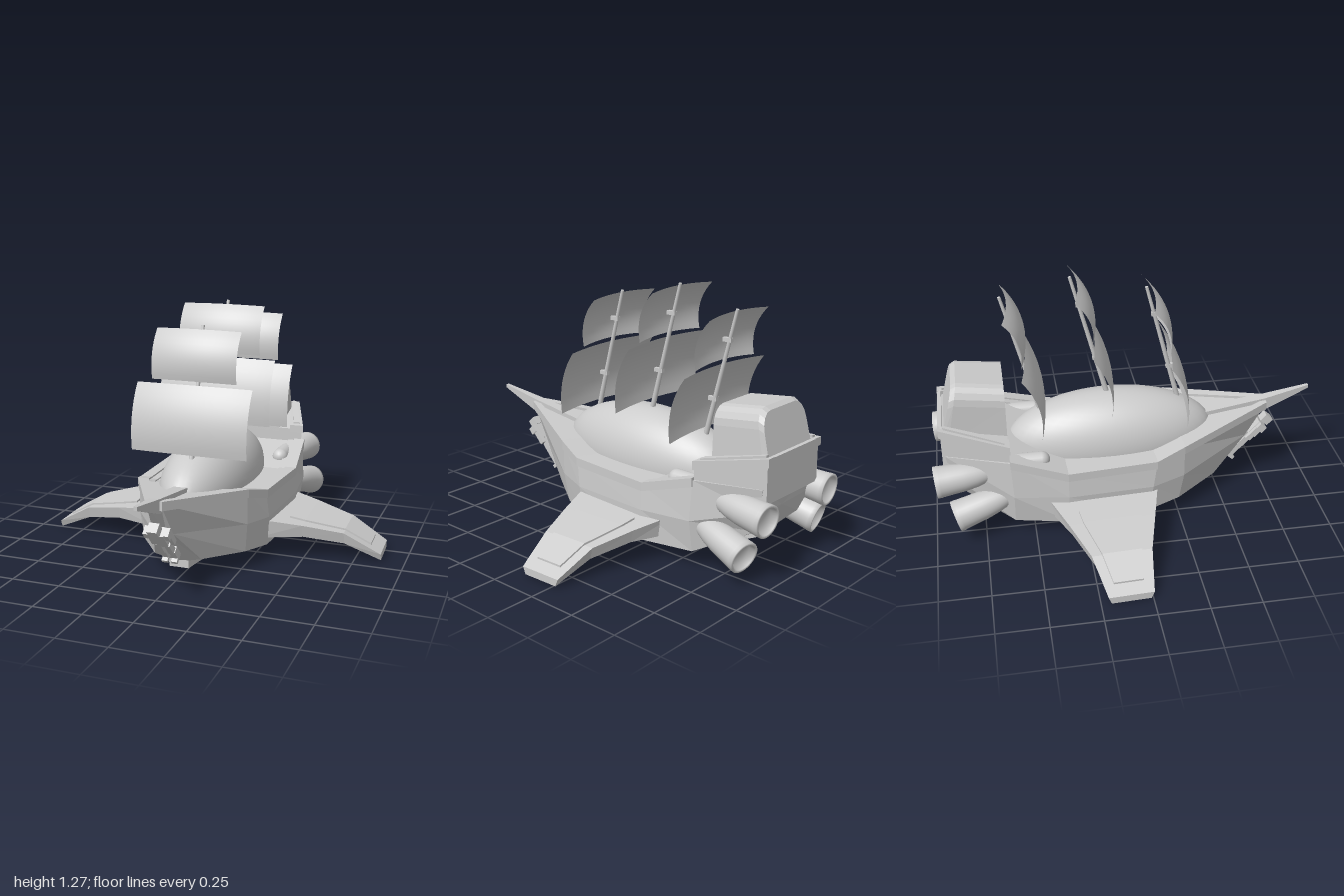
import * as THREE from 'three';

const grey = new THREE.MeshStandardMaterial({ color: 0xcccccc });
const flat = new THREE.MeshStandardMaterial({ color: 0xcccccc, flatShading: true });
const thin = new THREE.MeshStandardMaterial({ color: 0xcccccc, side: THREE.DoubleSide });

function add(parent, name, geometry, material = grey) {
  const mesh = new THREE.Mesh(geometry, material);
  mesh.name = name;
  parent.add(mesh);
  return mesh;
}

// Closed solid skinned over rings of [x, y, z] points, always wound outwards
function loft(rings) {
  const n = rings[0].length, tris = [];
  for (let r = 0; r < rings.length - 1; r++) {
    for (let i = 0; i < n; i++) {
      const j = (i + 1) % n;
      const [a, b, c, d] = [rings[r][i], rings[r][j], rings[r + 1][j], rings[r + 1][i]];
      tris.push([a, b, c], [a, c, d]);
    }
  }
  for (const [ring, first] of [[rings[0], true], [rings[rings.length - 1], false]]) {
    const mid = [0, 1, 2].map(k => ring.reduce((s, p) => s + p[k], 0) / n);
    for (let i = 0; i < n; i++) {
      const a = ring[i], b = ring[(i + 1) % n];
      tris.push(first ? [mid, b, a] : [mid, a, b]);
    }
  }
  const V = p => new THREE.Vector3(...p);
  const volume = tris.reduce((s, [a, b, c]) => s + V(a).dot(V(b).cross(V(c))), 0);
  const points = tris.flatMap(([a, b, c]) => (volume < 0 ? [a, c, b] : [a, b, c])).flat();
  const g = new THREE.BufferGeometry();
  g.setAttribute('position', new THREE.Float32BufferAttribute(points, 3));
  g.computeVertexNormals();
  return g;
}

const mirror = rings => rings.map(ring => ring.map(([x, y, z]) => [-x, y, z]));

function addPair(parent, name, rings) {
  add(parent, 'left' + name, loft(rings), flat);
  add(parent, 'right' + name, loft(mirror(rings)), flat);
}

// Rectangular section standing across z
const box = (x0, x1, y0, y1, z) => [[x0, y0, z], [x1, y0, z], [x1, y1, z], [x0, y1, z]];

function buildHull(ship) {
  // Each station: rail, side, chine, keel
  const stations = [
    [[.035, .475, .76], [.05, .30, .65], [.12, .12, .47], [0, .085, .45]],
    [[.285, .415, .27], [.285, .25, .27], [.27, .10, .25], [0, .06, .25]],
    [[.335, .375, .12], [.345, .24, .10], [.33, .085, .08], [0, .042, .05]],
    [[.355, .365, -.33], [.365, .24, -.33], [.36, .085, -.33], [0, .038, -.30]],
    [[.325, .45, -.61], [.335, .25, -.60], [.31, .09, -.60], [0, .055, -.60]],
    [[.215, .45, -.92], [.205, .33, -.90], [.17, .22, -.86], [0, .17, -.82]],
  ];
  const rings = stations.map(([a, b, c, k]) =>
    [a, b, c, k, ...[c, b, a].map(([x, y, z]) => [-x, y, z])]);
  add(ship, 'hull', loft(rings), flat);

  // Gunwale following the rail points
  addPair(ship, 'Gunwale', stations.slice(0, 5).map(([[x, y, z]]) =>
    box(Math.max(x - .05, .005), x + .008, y - .03, y + .014, z)));
  // Inner coaming step beside the dome
  addPair(ship, 'Coaming', stations.slice(1, 5).map(([[x, y, z]]) =>
    box(x - .085, x - .045, y - .02, y + .006, z)));

  add(ship, 'keel', loft([
    box(-.05, .05, .06, .10, .46), box(-.06, .06, .035, .08, .2), box(-.065, .065, .03, .06, -.3),
    box(-.06, .06, .045, .08, -.6), box(-.04, .04, .13, .18, -.79)]), flat);
  add(ship, 'bowsprit', loft([
    box(-.035, .035, .40, .455, .42), box(-.02, .03, .43, .50, .76), box(.012, .03, .522, .54, 1)]), flat);

  const dome = add(ship, 'dome', new THREE.SphereGeometry(1, 40, 28));
  dome.scale.set(.22, .255, .54);
  dome.position.set(-.01, .37, -.07);
}

function buildStern(ship) {
  add(ship, 'sternCastle', loft([
    box(-.315, .315, .38, .52, -.61), box(-.205, .205, .38, .58, -.935)]), flat);
  addPair(ship, 'CastleRail', [
    box(.25, .325, .50, .542, -.605), box(.165, .212, .56, .602, -.945)]);
  addPair(ship, 'CastleTrim', [
    box(.262, .30, .54, .555, -.63), box(.178, .198, .595, .61, -.92)]);
  add(ship, 'castleBackRail', new THREE.BoxGeometry(.38, .04, .02).translate(0, .58, -.935), flat);

  // Cabin with rounded upper corners and a raked back wall
  const section = (w, top, zLow, zHigh) => {
    const half = [[w, .5], [w * .96, top - .09]];
    for (let i = 1; i <= 4; i++) {
      const a = i * Math.PI / 8;
      half.push([w * .96 - .07 * (1 - Math.cos(a)), top - .09 + .09 * Math.sin(a)]);
    }
    return [...half, ...half.map(([x, y]) => [-x, y]).reverse()]
      .map(([x, y]) => [x, y, zLow + (zHigh - zLow) * (y - .5) / (top - .5)]);
  };
  add(ship, 'cabin', loft([
    section(.185, .77, -.61, -.61), section(.18, .80, -.90, -.84), section(.175, .785, -.935, -.865)]), flat);

  for (const s of [1, -1]) {
    const vent = add(ship, s > 0 ? 'leftDeckVent' : 'rightDeckVent', new THREE.CapsuleGeometry(.042, .14, 6, 16));
    vent.rotation.x = Math.PI / 2;
    vent.position.set(s * .24, .40, -.52);
  }
}

function buildEngines(ship) {
  // Bullet-shaped pod with a rim and recessed nozzle, nose at 0 and running to 1
  const profile = [[0, 0], [.02, .015], [.037, .08], [.052, .2], [.064, .36], [.072, .55], [.076, .78],
    [.079, .93], [.08, .93], [.08, 1], [.066, 1], [.06, .9], [0, .9]];
  // Nose, tail
  const pods = { Upper: [[.235, .36, -.67], [.255, .33, -.98]], Lower: [[.255, .235, -.58], [.305, .147, -.895]] };
  for (const [level, [nose, tail]] of Object.entries(pods)) {
    for (const s of [1, -1]) {
      const a = new THREE.Vector3(s * nose[0], nose[1], nose[2]);
      const dir = new THREE.Vector3(s * tail[0], tail[1], tail[2]).sub(a);
      const len = dir.length();
      const pts = profile.map(([r, t]) => new THREE.Vector2(r, t * len));
      const pod = add(ship, (s > 0 ? 'left' : 'right') + level + 'Engine', new THREE.LatheGeometry(pts, 28), thin);
      pod.position.copy(a);
      pod.quaternion.setFromUnitVectors(new THREE.Vector3(0, 1, 0), dir.normalize());
    }
  }
}

function buildWings(ship) {
  const wings = new THREE.Group();
  wings.name = 'wings';
  wings.rotation.set(0, .04, .005);
  ship.add(wings);
  // x, top, bottom, front z, back z
  const ribs = [[.28, .222, .12, .125, -.455], [.5, .188, .125, .06, -.37],
    [.7, .148, .09, 0, -.295], [.885, .045, .009, -.03, -.25]];
  addPair(wings, 'Wing', ribs.map(([x, t, b, f, k]) => [[x, t, f], [x, t, k], [x, b, k + .015], [x, b, f - .015]]));
  // Raised panel on the upper surface
  const panel = [[.42, .201, -.01, -.31], [.5, .188, -.01, -.30], [.7, .148, -.05, -.245], [.83, .076, -.07, -.215]];
  addPair(wings, 'WingPanel', panel.map(([x, y, f, k]) =>
    [[x, y + .009, f], [x, y + .009, k], [x, y - .02, k], [x, y - .02, f]]));
}

// Square sail billowing forward, leaning with its mast
function sail(width, y0, z0, y1, z1) {
  const g = new THREE.PlaneGeometry(2, 1, 14, 10), p = g.attributes.position;
  for (let i = 0; i < p.count; i++) {
    const u = p.getX(i), v = p.getY(i) + .5;
    const belly = .035 * 4 * v * (1 - v) + .03 * (1 - u * u) - .015;
    p.setXYZ(i, u * width, y0 + (y1 - y0) * v + belly * .25, z0 + (z1 - z0) * v + belly + .02 * u * width);
  }
  g.computeVertexNormals();
  return g;
}

function buildRigging(ship) {
  // Mast foot height and z at the deck line
  const masts = { fore: [.56, .28], main: [.64, -.095], mizzen: [.56, -.435] };
  for (const [name, [y, z]] of Object.entries(masts)) {
    const rig = new THREE.Group();
    rig.name = name + 'Rig';
    rig.position.set(0, y, z);
    ship.add(rig);
    const mast = add(rig, name + 'Mast', new THREE.CylinderGeometry(.008, .014, .74, 10));
    mast.rotation.x = -.257;
    mast.position.set(0, .273, -.07);
    const lower = add(rig, name + 'LowerSail', sail(.303, .015, .01, .345, -.075), thin);
    const upper = add(rig, name + 'UpperSail', sail(.222, .365, -.072, .61, -.148), thin);
    lower.position.x = upper.position.x = -.022;
    // Yards tying each sail to the mast
    for (const [h, d] of [[.18, -.035], [.48, -.113]]) {
      add(rig, name + 'Yard', new THREE.BoxGeometry(.02, .02, .05).translate(0, h, d), flat);
    }
  }
}

function buildFigurehead(ship) {
  const figure = new THREE.Group();
  figure.name = 'figurehead';
  figure.position.set(.01, .275, .675);
  figure.rotation.x = .74;
  ship.add(figure);
  const block = (name, w, h, d, x, y, z) =>
    add(figure, name, new THREE.BoxGeometry(w, h, d).translate(x, y, z), flat);
  block('figureHead', .05, .045, .05, 0, .13, .02);
  block('figureTorso', .08, .085, .05, 0, .06, .01);
  block('figureWaist', .055, .04, .04, 0, .0, .005);
  for (const s of [1, -1]) {
    block('figureShoulder', .025, .04, .045, s * .05, .085, .01);
    block('figureArm', .02, .08, .028, s * .05, .03, 0);
    block('figureThigh', .026, .075, .032, s * .022, -.05, .008);
    block('figureShin', .03, .06, .036, s * .024, -.115, 0);
    block('figureFoot', .03, .018, .055, s * .024, -.15, .01);
  }
}

export function createModel() {
  const ship = new THREE.Group();
  ship.name = 'flyingShip';
  buildHull(ship);
  buildStern(ship);
  buildEngines(ship);
  buildWings(ship);
  buildRigging(ship);
  buildFigurehead(ship);
  return ship;
}
